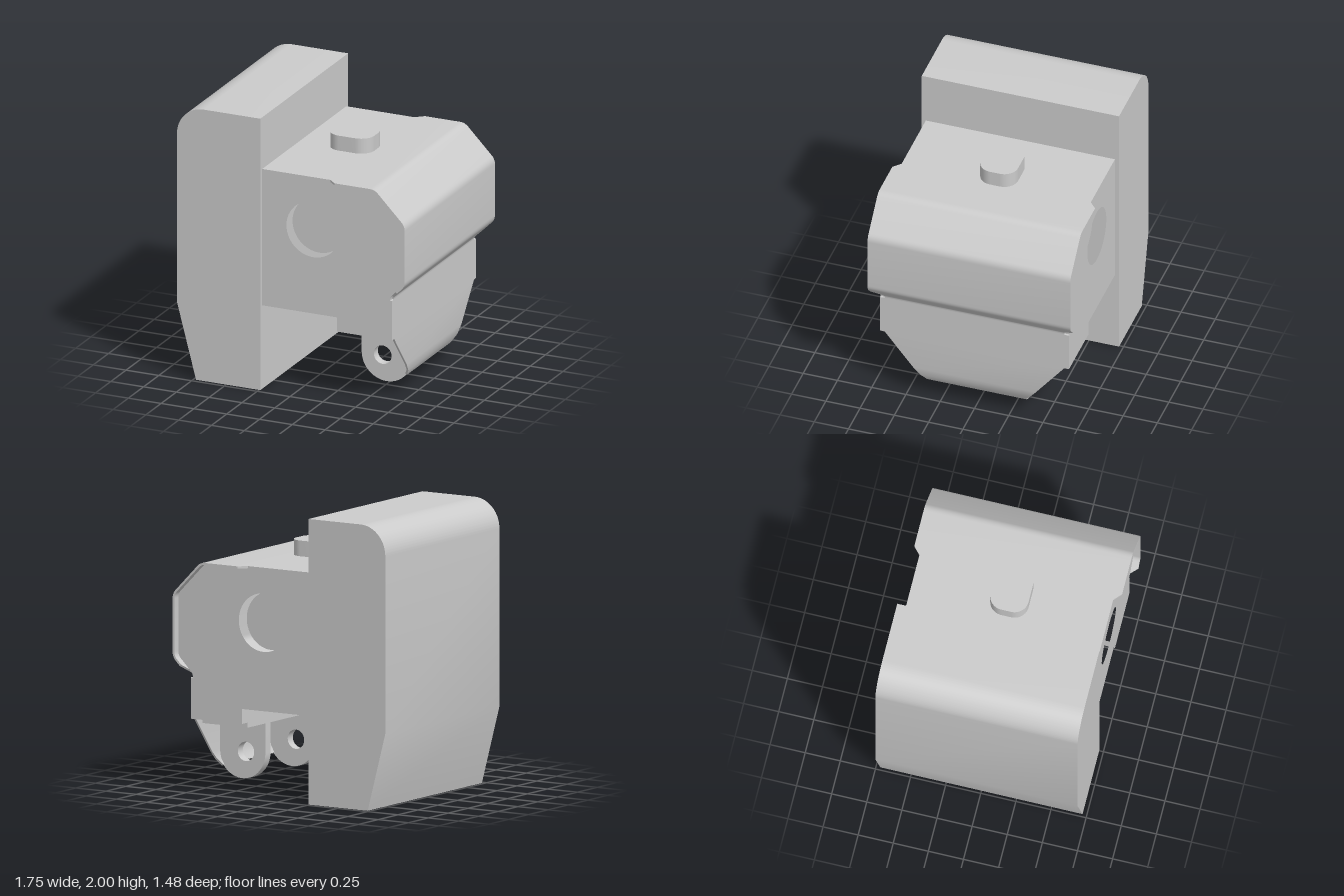
import * as THREE from 'three';
import { toCreasedNormals } from 'three/addons/utils/BufferGeometryUtils.js';

const material = new THREE.MeshStandardMaterial({ color: 0xcccccc });
const PLATE = 0.015;

function addMesh(group, name, geometry) {
  const mesh = new THREE.Mesh(toCreasedNormals(geometry, 0.6), material);
  mesh.name = name;
  group.add(mesh);
  return mesh;
}

// Flat shape pushed along z, from z0 to z1
function slice(shape, z0, z1) {
  const geometry = new THREE.ExtrudeGeometry(shape, { depth: z1 - z0, bevelEnabled: false, curveSegments: 24 });
  return geometry.translate(0, 0, z0);
}

function circlePath(x, y, r) {
  return new THREE.Path().absarc(x, y, r, 0, Math.PI * 2, true);
}

// Plate stations [x, y, half width, bend size], bends become short curves
function plateStations() {
  const corners = [
    [0.28, 1.62, 0.69], [0.335, 1.62, 0.74], [0.64, 1.62, 0.74, 0.035],
    [0.87, 1.385, 0.74, 0.035], [0.87, 0.94, 0.74, 0.035], [0.81, 0.88, 0.74],
    [0.75, 0.82, 0.655, 0.015], [0.75, 0.801, 0.655], [0.75, 0.8, 0.69],
    [0.75, 0.51, 0.69], [0.75, 0.509, 0.655], [0.75, 0.25, 0.448],
    [0.74, 0.19, 0.4], [0.71, 0.14, 0.36],
  ];
  const points = corners.map(c => new THREE.Vector3(c[0], c[1], c[2]));
  const result = [];
  points.forEach((p, i) => {
    const bend = corners[i][3];
    if (!bend) return result.push(p);
    const toward = q => p.clone().add(q.clone().sub(p).setLength(bend));
    const curve = new THREE.QuadraticBezierCurve3(toward(points[i - 1]), p, toward(points[i + 1]));
    result.push(...curve.getPoints(5));
  });
  return result;
}

// Inner side of the plate, offset by its thickness
function insetStations(stations) {
  return stations.map((p, i) => {
    const a = stations[Math.max(i - 1, 0)];
    const b = stations[Math.min(i + 1, stations.length - 1)];
    const dir = new THREE.Vector2(b.x - a.x, b.y - a.y).normalize();
    return new THREE.Vector3(p.x + dir.y * PLATE, p.y - dir.x * PLATE, p.z);
  });
}

// Loft of rectangular sections along the stations
function plateGeometry(outer, inner) {
  const position = [];
  const index = [];
  outer.forEach((o, i) => {
    const n = inner[i];
    position.push(o.x, o.y, o.z, o.x, o.y, -o.z, n.x, n.y, -n.z, n.x, n.y, n.z);
    if (i === 0) return;
    for (let k = 0; k < 4; k++) {
      const a = (i - 1) * 4 + k, b = (i - 1) * 4 + (k + 1) % 4;
      index.push(a, a + 4, b, b, a + 4, b + 4);
    }
  });
  const e = (outer.length - 1) * 4;
  index.push(0, 1, 2, 0, 2, 3, e, e + 2, e + 1, e, e + 3, e + 2);
  const geometry = new THREE.BufferGeometry();
  geometry.setAttribute('position', new THREE.Float32BufferAttribute(position, 3));
  geometry.setIndex(index);
  return geometry;
}

export function createModel() {
  const model = new THREE.Group();
  model.name = 'bracketUnit';

  // Tall back slab with a rounded top edge and sloped foot
  const slab = new THREE.Shape();
  slab.moveTo(-0.24, 0);
  slab.lineTo(-0.24, 2);
  slab.lineTo(-0.67, 2);
  slab.absarc(-0.67, 1.795, 0.205, Math.PI / 2, Math.PI, false);
  slab.lineTo(-0.875, 0.55);
  slab.lineTo(-0.73, 0);
  addMesh(model, 'backSlab', slice(slab, -0.72, 0.72));

  // Housing fills the inside of the bent cover plate
  const outer = plateStations();
  const inner = insetStations(outer);
  const housing = new THREE.Shape();
  housing.moveTo(-0.24, 0.615);
  housing.lineTo(-0.24, 1.62);
  housing.lineTo(0.28, 1.62);
  inner.filter(p => p.y > 0.55).forEach(p => housing.lineTo(p.x, p.y));
  housing.lineTo(0.735, 0.51);
  housing.lineTo(0.33, 0.51);
  housing.lineTo(0.33, 0.615);
  housing.holes.push(circlePath(0.15, 1.235, 0.205));
  addMesh(model, 'housing', slice(housing, -0.69, 0.69));

  // Floors of the round side recesses
  const floor = new THREE.CylinderGeometry(0.205, 0.205, 1.18, 48);
  floor.rotateX(Math.PI / 2).translate(0.15, 1.235, 0);
  addMesh(model, 'recessFloor', floor);

  addMesh(model, 'coverPlate', plateGeometry(outer, inner));

  // Rounded button on top
  const r = 0.1, x0 = -0.015, x1 = 0.31, h = 0.135;
  const button = new THREE.Shape();
  button.absarc(x1 - r, h - r, r, 0, Math.PI / 2, false);
  button.absarc(x0 + r, h - r, r, Math.PI / 2, Math.PI, false);
  button.absarc(x0 + r, r - h, r, Math.PI, Math.PI * 1.5, false);
  button.absarc(x1 - r, r - h, r, Math.PI * 1.5, Math.PI * 2, false);
  const buttonGeometry = slice(button, 1.6, 1.73).rotateX(-Math.PI / 2);
  addMesh(model, 'topButton', buttonGeometry);

  // Flange under the housing
  const flange = new THREE.BoxGeometry(0.38, 0.055, 1.14);
  addMesh(model, 'flange', flange.translate(0.55, 0.4925, 0));

  // Pair of pierced lugs
  const lug = new THREE.Shape();
  lug.moveTo(0.74, 0.48);
  lug.lineTo(0.36, 0.48);
  lug.lineTo(0.36, 0.255);
  lug.absarc(0.55, 0.255, 0.19, Math.PI, Math.PI * 2, false);
  lug.holes.push(circlePath(0.52, 0.255, 0.068));
  for (const side of [-1, 1]) {
    const z = side * 0.315;
    addMesh(model, side > 0 ? 'frontLug' : 'backLug', slice(lug, z - 0.033, z + 0.033));
  }
  return model;
}
